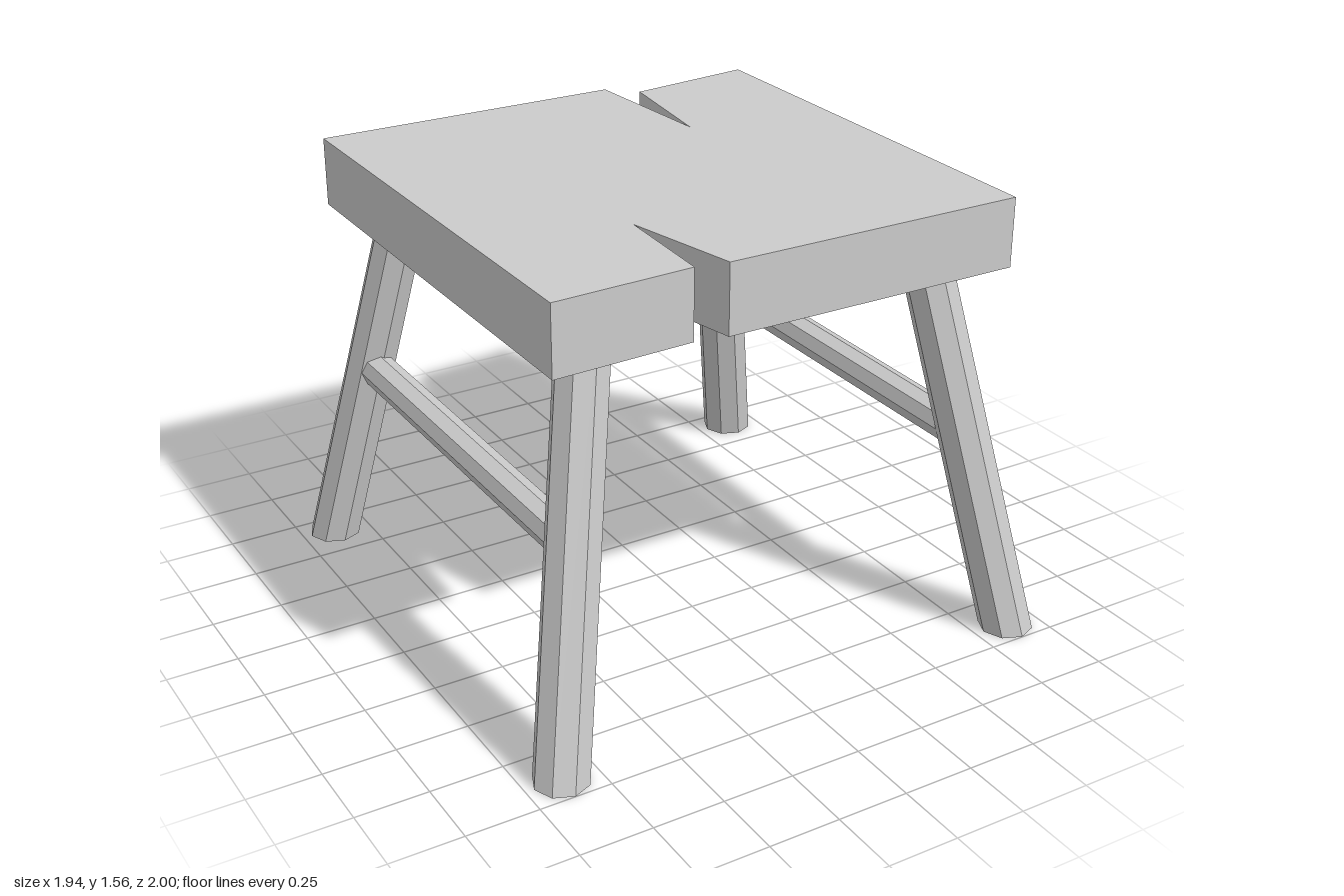
import * as THREE from 'three';

const SEAT_BOTTOM = 1.325, SEAT_TOP = 1.565;
const material = new THREE.MeshStandardMaterial({ color: 0xcccccc, flatShading: true });

function addMesh(group, name, geometry) {
  const mesh = new THREE.Mesh(geometry, material);
  mesh.name = name;
  group.add(mesh);
  return mesh;
}

// Centre of a splayed leg at height y, for the +x +z corner
const legCentre = (y) => {
  const t = y / SEAT_BOTTOM;
  return { x: 0.877 - 0.242 * t, z: 0.905 - 0.26 * t };
};

// Eight-sided leg, sheared so the foot stays flat on the ground
function legGeometry(sx, sz) {
  const height = SEAT_BOTTOM + 0.08;
  const geometry = new THREE.CylinderGeometry(0.089, 0.094, height, 8);
  geometry.translate(0, height / 2, 0);
  const p = geometry.attributes.position;
  for (let i = 0; i < p.count; i++) {
    const c = legCentre(p.getY(i));
    p.setX(i, p.getX(i) + sx * c.x);
    p.setZ(i, p.getZ(i) + sz * c.z);
  }
  geometry.computeVertexNormals();
  return geometry;
}

// Thick slab with a split in the front and back edges, outline in (x, z)
function seatGeometry() {
  const outline = [
    [-0.835, 0.83], [-0.35, 0.81], [-0.33, 0.42], [-0.24, 0.83], [0.835, 0.83],
    [0.835, -0.8], [0.37, -0.745], [0.315, -0.3], [0.275, -0.835], [-0.835, -0.835],
  ];
  const shape = new THREE.Shape(outline.map(([x, z]) => new THREE.Vector2(x, -z)));
  const geometry = new THREE.ExtrudeGeometry(shape, { depth: SEAT_TOP - SEAT_BOTTOM, bevelEnabled: false });
  geometry.rotateX(-Math.PI / 2);
  geometry.translate(0, SEAT_BOTTOM, 0);
  return geometry;
}

export function createModel() {
  const group = new THREE.Group();
  group.name = 'stool';
  addMesh(group, 'seat', seatGeometry());

  const railY = 0.722;
  const rail = legCentre(railY);
  for (const sx of [1, -1]) {
    const side = sx > 0 ? 'Left' : 'Right';
    addMesh(group, 'front' + side + 'Leg', legGeometry(sx, 1));
    addMesh(group, 'back' + side + 'Leg', legGeometry(sx, -1));

    // Side rail joining the front and back legs
    const geometry = new THREE.CylinderGeometry(0.063, 0.063, 2 * rail.z - 0.04, 8);
    geometry.rotateX(Math.PI / 2);
    addMesh(group, 'side' + side + 'Rail', geometry).position.set(sx * rail.x, railY, 0);
  }
  return group;
}
